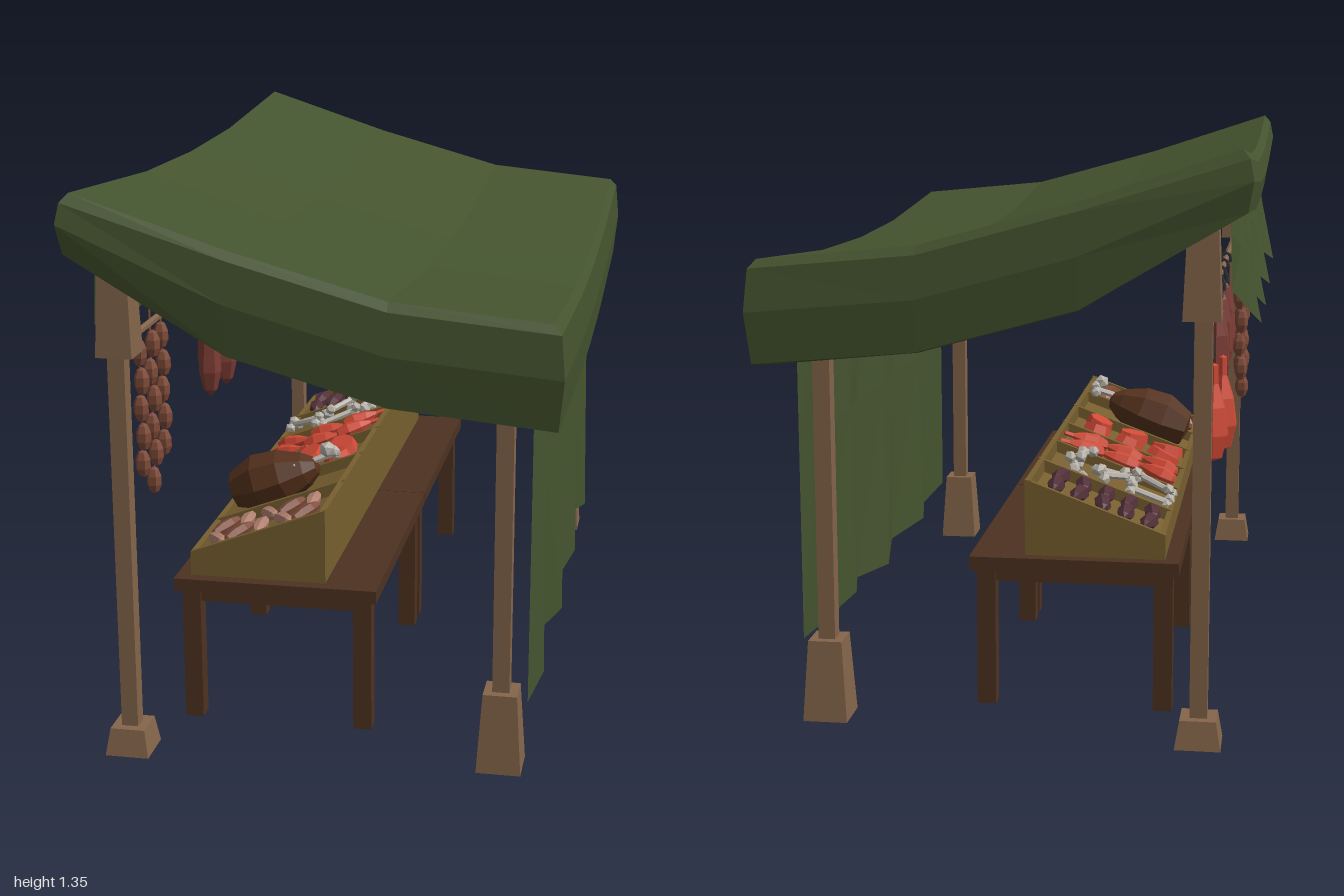
import * as THREE from 'three';

const mat = (color) => new THREE.MeshStandardMaterial({ color, flatShading: true, side: THREE.DoubleSide });
const M = {
  cloth: mat(0x45542f), post: mat(0x84654a), table: mat(0x4e3220), crate: mat(0x775f2f),
  red: mat(0xd24a36), dried: mat(0x7c3c34), sausage: mat(0x7d4a38), dark: mat(0x523038),
  pale: mat(0xb08070), bone: mat(0xb8b3aa), roast: mat(0x55311c), iron: mat(0x303234),
};

const V = (x, y, z) => new THREE.Vector3(x, y, z);

function add(parent, name, geo, material, x = 0, y = 0, z = 0) {
  const m = new THREE.Mesh(geo, material);
  m.name = name;
  m.position.set(x, y, z);
  parent.add(m);
  return m;
}

// Surface through rows of points
function grid(rows) {
  const n = rows[0].length, pos = [], idx = [];
  rows.forEach((r) => r.forEach((p) => pos.push(p.x, p.y, p.z)));
  for (let i = 0; i < rows.length - 1; i++) {
    for (let j = 0; j < n - 1; j++) {
      const a = i * n + j, b = a + n;
      idx.push(a, a + 1, b, b, a + 1, b + 1);
    }
  }
  const g = new THREE.BufferGeometry();
  g.setAttribute('position', new THREE.Float32BufferAttribute(pos, 3));
  g.setIndex(idx);
  g.computeVertexNormals();
  return g;
}

// Square tapered block standing on y = 0
function taper(bottom, top, h) {
  const g = new THREE.CylinderGeometry(top / Math.SQRT2, bottom / Math.SQRT2, h, 4);
  return g.rotateY(Math.PI / 4).translate(0, h / 2, 0);
}

const lathe = (pts, sides) => new THREE.LatheGeometry(pts.map(([r, y]) => new THREE.Vector2(r, y)), sides);

// Sagging canopy with a hanging skirt
function canopy(root) {
  const g = new THREE.Group();
  g.name = 'canopy';
  root.add(g);
  const xs = [-0.53, -0.18, 0.18, 0.54], hs = [1.35, 1.235, 1.135, 1.1], drops = [0.135, 0.235, 0.235, 0.235];
  const zs = [-0.97, -0.4, 0, 0.4, 0.97];
  const sag = (z) => 0.05 * (1 - (z / 0.97) ** 2);
  const roof = (dy) => zs.map((z) => xs.map((x, i) => V(x, hs[i] - sag(z) - dy, z)));
  add(g, 'canopyRoof', grid(roof(0)), M.cloth);
  add(g, 'canopyLining', grid(roof(0.02)), M.cloth);
  // Perimeter as [column, z, outward x, outward z]
  const rim = [];
  xs.forEach((_, i) => rim.push([i, -0.97, i === 0 ? -1 : i === 3 ? 1 : 0, -1]));
  zs.slice(1, 4).forEach((z) => rim.push([3, z, 1, 0]));
  [3, 2, 1, 0].forEach((i) => rim.push([i, 0.97, i === 0 ? -1 : i === 3 ? 1 : 0, 1]));
  [0.4, 0, -0.4].forEach((z) => rim.push([0, z, -1, 0]));
  rim.push(rim[0]);
  const ring = (out, f, dy) => rim.map(([i, z, ox, oz]) =>
    V(xs[i] + ox * out, hs[i] - sag(z) - drops[i] * f - dy, z + oz * out));
  add(g, 'canopySkirt', grid([ring(0, 0, 0), ring(0.017, 0, 0.02), ring(0.026, 0.5, 0),
    ring(0.014, 1, 0), ring(-0.012, 1, 0.005), ring(0, 0, 0.02)]), M.cloth);
}

// Hanging cloths along the two long sides
function curtains(root) {
  const hem = [0.185, 0.145, 0.175, 0.15, 0.13, 0.145, 0.155, 0.15, 0.165];
  const fold = [0, 0.02, -0.02, 0.022, -0.01, 0.022, -0.02, 0.015, 0];
  const rows = [0, 0.4, 1].map((t) => hem.map((h, i) =>
    V(0.488 + fold[i] * (0.4 + 0.8 * t), THREE.MathUtils.lerp(0.98, h, t), -0.845 + i * 0.21125)));
  add(root, 'backCurtain', grid(rows), M.cloth);

  const n = 17;
  const short = [0, 0.5, 1].map((t) => Array.from({ length: n }, (_, i) => {
    const z = -0.89 + (1.78 * i) / (n - 1);
    const w = [0, 0.6, 1, 0.4][i % 4];
    const bottom = 1.03 - 0.09 * w - 0.03 * Math.cos(z * 2);
    const x = -0.5 - t * (0.01 + 0.06 * w);
    return V(x, THREE.MathUtils.lerp(1.29 - 0.05 * (1 - z * z), bottom, t), z);
  }));
  add(root, 'frontValance', grid(short), M.cloth);
}

function frame(root) {
  for (const s of [-1, 1]) {
    // Tall posts with a small foot and a collar
    add(root, 'tallPost', new THREE.BoxGeometry(0.04, 1.22, 0.04), M.post, -0.45, 0.61, s * 0.912);
    add(root, 'tallPostFoot', taper(0.105, 0.083, 0.066), M.post, -0.45, 0, s * 0.912);
    add(root, 'tallPostCollar', taper(0.085, 0.066, 0.23), M.post, -0.447, 0.975, s * 0.912);
    // Short posts with a heavy foot
    add(root, 'shortPost', new THREE.BoxGeometry(0.04, 1.06, 0.04), M.post, 0.427, 0.53, s * 0.845);
    add(root, 'shortPostFoot', taper(0.105, 0.08, 0.193), M.post, 0.427, 0, s * 0.845);
  }
  add(root, 'hangingRail', new THREE.CylinderGeometry(0.009, 0.009, 1.82, 6).rotateX(Math.PI / 2), M.post, -0.45, 0.99, 0);
}

// Two tables end to end
function tables(root) {
  for (const s of [-1, 1]) {
    const t = new THREE.Group();
    t.name = 'table';
    root.add(t);
    add(t, 'tableTop', new THREE.BoxGeometry(0.5, 0.032, 0.738), M.table, -0.14, 0.354, s * 0.37);
    for (const x of [-0.352, 0.072]) {
      for (const z of [0.04, 0.697]) add(t, 'tableLeg', new THREE.BoxGeometry(0.045, 0.34, 0.045), M.table, x, 0.17, s * z);
      add(t, 'tableSideRail', new THREE.BoxGeometry(0.025, 0.035, 0.65), M.table, x, 0.322, s * 0.37);
    }
    for (const z of [0.04, 0.697]) add(t, 'tableEndRail', new THREE.BoxGeometry(0.42, 0.035, 0.025), M.table, -0.14, 0.322, s * z);
  }
}

// Wedge with its side profile in x and y, extruded along z
function wedge(low, high, depth) {
  const s = new THREE.Shape([[-0.355, 0.37], [-0.02, 0.37], [-0.02, high], [-0.355, low]].map(([x, y]) => new THREE.Vector2(x, y)));
  return new THREE.ExtrudeGeometry(s, { depth, bevelEnabled: false }).translate(0, 0, -depth / 2);
}

const link = (r, len) => new THREE.SphereGeometry(1, 6, 5).scale(r, len / 2, r);
const legOfMeat = lathe([[0, 0], [0.022, 0.01], [0.034, 0.06], [0.026, 0.12], [0.01, 0.17], [0.009, 0.21], [0, 0.215]], 6);

// Bone with two knobs, lying along x
function bone(parent, x, y, z, len, turn) {
  const b = new THREE.Group();
  b.name = 'bone';
  b.position.set(x, y, z);
  b.rotation.y = turn;
  parent.add(b);
  add(b, 'boneShaft', new THREE.CylinderGeometry(0.009, 0.009, len, 6).rotateZ(Math.PI / 2), M.bone);
  for (const e of [-1, 1]) for (const k of [-1, 1])
    add(b, 'boneKnob', new THREE.IcosahedronGeometry(0.016, 0), M.bone, e * len / 2, k * 0.006, k * 0.013);
}

function display(root) {
  const d = new THREE.Group();
  d.name = 'slopedDisplay';
  root.add(d);
  add(d, 'displayFloor', wedge(0.4, 0.525, 1.4), M.crate);
  for (let i = 0; i <= 6; i++) add(d, 'displayDivider', wedge(0.43, 0.555, 0.014), M.crate, 0, 0, -0.7 + (i * 1.4) / 6);
  add(d, 'displayLowEdge', new THREE.BoxGeometry(0.014, 0.06, 1.41), M.crate, -0.348, 0.4, 0);
  add(d, 'displayHighEdge', new THREE.BoxGeometry(0.014, 0.18, 1.41), M.crate, -0.027, 0.462, 0);

  const trays = Array.from({ length: 6 }, (_, i) => {
    const t = new THREE.Group();
    t.name = 'trayOfMeat';
    t.position.set(-0.19, 0.463, -0.583 + i * 0.2333);
    t.rotation.z = 0.357;
    d.add(t);
    return t;
  });
  // Rows of sausages in the two end trays
  for (let i = 0; i < 10; i++) {
    const u = -0.12 + 0.06 * (i % 5), v = i < 5 ? -0.045 : 0.045;
    add(trays[0], 'darkSausage', link(0.022, 0.1).rotateX(Math.PI / 2), M.dark, u, 0.022, v).rotation.y = 0.15 * (i % 3 - 1);
    add(trays[5], 'paleSausage', link(0.018, 0.1).rotateX(Math.PI / 2), i % 3 ? M.pale : M.sausage, u, 0.018, v).rotation.y = 0.6 * (i % 3 - 1);
  }
  for (let i = 0; i < 6; i++) bone(trays[1], -0.1 + 0.1 * (i % 3), 0.02 + 0.015 * (i % 2), i < 3 ? -0.04 : 0.04, 0.1, i * 0.9);
  // Steaks and cutlets
  for (let i = 0; i < 6; i++) {
    const u = -0.1 + 0.1 * (i % 3), v = i < 3 ? -0.045 : 0.045;
    add(trays[3], 'steak', new THREE.CylinderGeometry(0.04, 0.046, 0.025, 7).scale(1.1, 1, 0.85), M.red, u, 0.02, v).rotation.set(0.15, i, 0.15);
    add(trays[2], 'cutlet', legOfMeat.clone().scale(0.7, 0.6, 0.7).rotateZ(-Math.PI / 2), M.red, u - 0.05, 0.022, v).rotation.y = 0.3 * (i % 3 - 1);
  }
  // Big roast on the bone
  const roast = lathe([[0, -0.13], [0.05, -0.12], [0.078, -0.05], [0.072, 0.02], [0.045, 0.08], [0.022, 0.11], [0, 0.115]], 8);
  add(trays[4], 'roast', roast.rotateZ(-Math.PI / 2), M.roast, -0.01, 0.055, 0);
  bone(trays[4], 0.1, 0.07, 0, 0.11, 0.3);
  add(trays[4], 'boneEnd', new THREE.IcosahedronGeometry(0.022, 0), M.bone, 0.145, 0.09, 0.01);
}

// S-shaped hook from the rail down to the meat
function hook(parent, z, bottom) {
  const c = new THREE.CatmullRomCurve3([V(-0.465, 0.98, z), V(-0.455, 1.005, z), V(-0.437, 0.995, z), V(-0.44, 0.96, z),
    V(-0.45, bottom + 0.03, z), V(-0.452, bottom, z), V(-0.435, bottom + 0.005, z)]);
  add(parent, 'hook', new THREE.TubeGeometry(c, 14, 0.005, 5), M.iron);
}

function hangings(root) {
  const g = new THREE.Group();
  g.name = 'hangingMeat';
  root.add(g);
  // Strings of sausages
  [[0.47, 5], [0.56, 6], [0.65, 5]].forEach(([z, n], k) => {
    add(g, 'sausageString', new THREE.CylinderGeometry(0.003, 0.003, n * 0.07 + 0.05, 4), M.sausage, -0.485, 0.97 - n * 0.035, z);
    for (let i = 0; i < n; i++)
      add(g, 'sausageLink', link(0.02, 0.072), M.sausage, -0.485 + 0.006 * ((i + k) % 2), 0.91 - i * 0.07, z + 0.006 * (i % 2));
  });
  // Dried cuts
  const cut = lathe([[0, -0.12], [0.018, -0.1], [0.03, -0.05], [0.026, 0.03], [0.012, 0.09], [0, 0.11]], 6);
  for (let i = 0; i < 8; i++) {
    const z = -0.32 + i * 0.08;
    if (i % 2 === 0) hook(g, z, 0.92);
    add(g, 'driedCut', cut, M.dried, i % 2 ? -0.425 : -0.45, 0.82 - 0.012 * (i % 3), z).rotation.y = i;
  }
  // Red legs of meat
  [-0.63, -0.51].forEach((z, i) => {
    hook(g, z, 0.82);
    add(g, 'hangingLeg', legOfMeat.clone().scale(1.15, 1.1, 1.15), M.red, -0.46 - 0.015 * i, 0.595, z).rotation.y = i;
  });
}

export function createModel() {
  const root = new THREE.Group();
  root.name = 'marketStall';
  canopy(root);
  curtains(root);
  frame(root);
  tables(root);
  display(root);
  hangings(root);
  return root;
}
